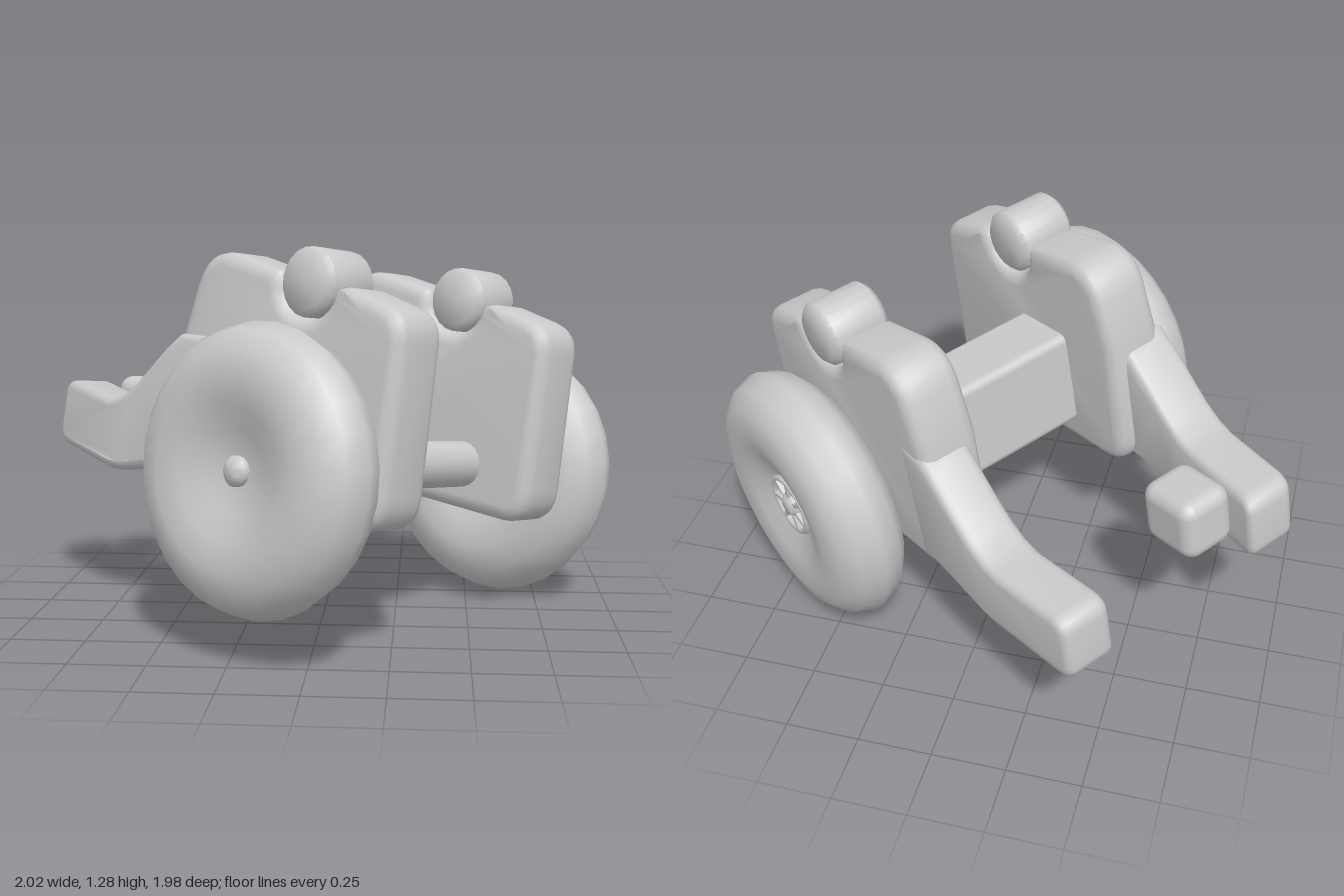
import * as THREE from 'three';
import { toCreasedNormals } from 'three/addons/utils/BufferGeometryUtils.js';
import { RoundedBoxGeometry } from 'three/addons/geometries/RoundedBoxGeometry.js';

const grey = new THREE.MeshStandardMaterial({ color: 0xcacaca });
grey.name = 'grey';

function add(parent, name, geometry, x = 0, y = 0, z = 0) {
  const mesh = new THREE.Mesh(geometry, grey);
  mesh.name = name;
  mesh.position.set(x, y, z);
  parent.add(mesh);
  return mesh;
}

// Rounded slab, centred on z = 0, thickness measured over the bevels
function slab(shape, thickness, bevel) {
  const g = new THREE.ExtrudeGeometry(shape, {
    depth: thickness - 2 * bevel, bevelEnabled: true, bevelSize: bevel, bevelThickness: bevel,
    bevelOffset: -bevel, bevelSegments: 3, curveSegments: 6,
  });
  g.translate(0, 0, -thickness / 2 + bevel);
  return toCreasedNormals(g, 0.7);
}

// Solid of revolution about z from [radius, z] points
function turned(points, segments) {
  const g = new THREE.LatheGeometry(points.map(([r, h]) => new THREE.Vector2(r, h)), segments);
  g.rotateX(Math.PI / 2);
  return toCreasedNormals(g.toNonIndexed(), 0.8);
}

// Short drum with softened rims
function drum(radius, length) {
  const h = length / 2, b = 0.02;
  return turned([[0, -h], [radius - b, -h], [radius, -h + b], [radius, h - b], [radius - b, h], [0, h]], 20);
}

// Side plate: a rounded block with a round notch on top
function plateShape() {
  const s = new THREE.Shape();
  s.moveTo(-0.47, -0.13);
  s.lineTo(0.28, -0.13);
  s.quadraticCurveTo(0.39, -0.13, 0.39, -0.01);
  s.lineTo(0.365, 0.46);
  s.quadraticCurveTo(0.36, 0.545, 0.28, 0.565);
  s.lineTo(0.13, 0.595);
  s.quadraticCurveTo(0.08, 0.6, 0.07, 0.575);
  s.absarc(-0.045, 0.59, 0.116, -0.13, -Math.PI, true);
  s.lineTo(-0.18, 0.615);
  s.lineTo(-0.4, 0.645);
  s.quadraticCurveTo(-0.52, 0.65, -0.55, 0.53);
  s.lineTo(-0.585, 0.36);
  s.lineTo(-0.58, -0.01);
  s.quadraticCurveTo(-0.58, -0.13, -0.47, -0.13);
  return s;
}

// Tail arm: drops from the plate, then runs level to a blunt tip
function armShape() {
  const s = new THREE.Shape();
  s.moveTo(-0.45, -0.1);
  s.lineTo(-0.45, 0.36);
  s.lineTo(-0.56, 0.35);
  s.bezierCurveTo(-0.68, 0.25, -0.76, 0.08, -0.9, 0.07);
  s.lineTo(-1.175, 0.085);
  s.quadraticCurveTo(-1.235, 0.08, -1.235, 0.03);
  s.lineTo(-1.235, -0.1);
  s.quadraticCurveTo(-1.235, -0.15, -1.165, -0.155);
  s.lineTo(-0.84, -0.175);
  s.bezierCurveTo(-0.72, -0.17, -0.6, -0.1, -0.45, -0.1);
  return s;
}

// Wheel with a fat round tyre and a dished middle
function makeWheel(side) {
  const wheel = new THREE.Group();
  wheel.name = side > 0 ? 'rightWheel' : 'leftWheel';
  const half = [[0.07, 0.075], [0.13, 0.092], [0.21, 0.125], [0.3, 0.142], [0.38, 0.122], [0.435, 0.075]];
  const profile = [[0, -0.07], ...half.map(([r, h]) => [r, -h]), [0.463, 0],
    ...half.slice().reverse(), [0, 0.07]];
  add(wheel, 'tyre', turned(profile, 28));
  add(wheel, 'hubCap', drum(0.048, 0.09), 0, 0, side * 0.065);
  if (side < 0) {
    // Spoked ring around the hub cap
    add(wheel, 'hubRing', new THREE.TorusGeometry(0.105, 0.012, 6, 24), 0, 0, -0.09);
    for (let i = 0; i < 7; i++) {
      const a = (i / 7) * Math.PI * 2;
      const spoke = add(wheel, 'spoke', new THREE.BoxGeometry(0.06, 0.016, 0.04),
        0.075 * Math.cos(a), 0.075 * Math.sin(a), -0.08);
      spoke.rotation.z = a;
    }
  }
  wheel.position.z = side * 0.645;
  return wheel;
}

export function createModel() {
  const model = new THREE.Group();
  model.name = 'cart';
  const body = new THREE.Group();
  body.name = 'tiltedBody';
  model.add(body);

  // The whole cart is turned and slightly tilted
  const forward = new THREE.Vector3(0.779, -0.099, 0.618).normalize();
  const axle = new THREE.Vector3(-0.61, 0.109, 0.785);
  const up = axle.clone().cross(forward).normalize();
  axle.crossVectors(forward, up);
  body.quaternion.setFromRotationMatrix(new THREE.Matrix4().makeBasis(forward, up, axle));
  body.position.set(0.225, 0.53, 0.15);

  for (const side of [1, -1]) {
    add(body, 'sidePlate', slab(plateShape(), 0.22, 0.045), 0, 0, side * 0.385);
    add(body, 'topRoller', drum(0.112, 0.22), -0.045, 0.592, side * 0.39);
    body.add(makeWheel(side));

    // Arms, the right one bowing outward halfway
    const arm = slab(armShape(), side > 0 ? 0.19 : 0.18, 0.03);
    if (side > 0) {
      const p = arm.attributes.position;
      for (let i = 0; i < p.count; i++) {
        const t = THREE.MathUtils.clamp((p.getX(i) + 1.235) / 0.8, 0, 1);
        p.setZ(i, p.getZ(i) - 0.065 + 0.09 * Math.sin(t * Math.PI * 0.7));
      }
    }
    add(body, 'tailArm', toCreasedNormals(arm, 0.7), 0, 0, side * 0.41);
  }

  // Parts joining the two sides
  add(body, 'crossBeam', new RoundedBoxGeometry(0.26, 0.36, 0.6, 2, 0.03), -0.205, 0.15, 0);
  add(body, 'lowerLedge', new RoundedBoxGeometry(0.28, 0.06, 0.38, 2, 0.015), -0.13, 0, 0);
  add(body, 'frontBar', new THREE.CylinderGeometry(0.08, 0.08, 0.6, 20).rotateX(Math.PI / 2), 0.1, 0.03, 0);
  for (const side of [1, -1]) {
    add(body, 'axle', new THREE.CylinderGeometry(0.06, 0.06, 0.3, 16).rotateX(Math.PI / 2), 0, 0, side * 0.5);
  }

  // Single peg on the inside of the right arm
  add(body, 'armPeg', new RoundedBoxGeometry(0.23, 0.22, 0.2, 3, 0.05), -1.04, 0.01, 0.165);
  return model;
}
